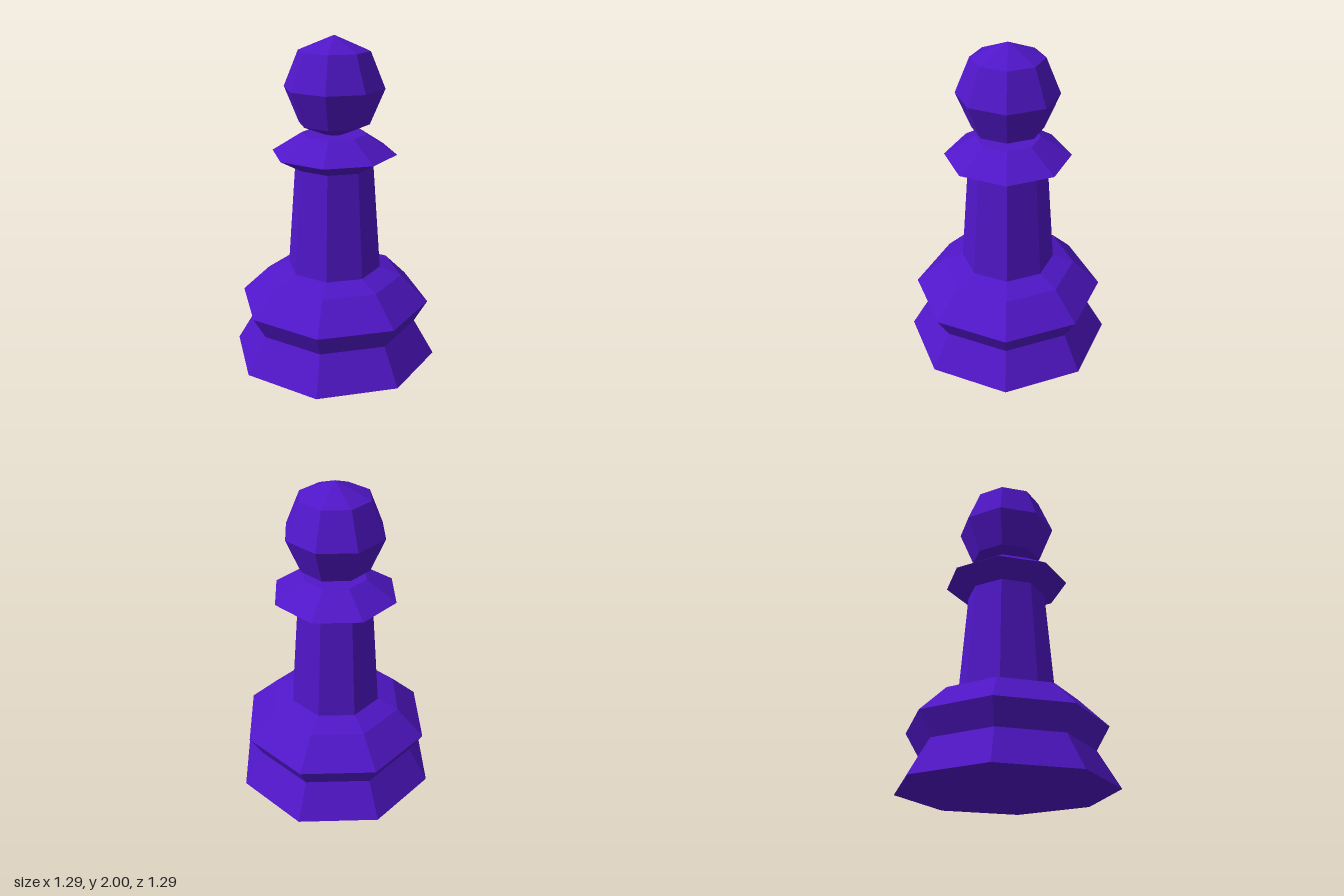
import * as THREE from 'three';

const SIDES = 8;

export function createModel() {
  const group = new THREE.Group();
  group.name = 'pawn';
  const material = new THREE.MeshStandardMaterial({ color: 0x5016c8, flatShading: true });

  const add = (name, geometry, y = 0) => {
    const mesh = new THREE.Mesh(geometry, material);
    mesh.name = name;
    mesh.position.y = y;
    group.add(mesh);
  };
  // Faceted turning from [radius, height] pairs, bottom to top
  const turned = (name, profile) =>
    add(name, new THREE.LatheGeometry(profile.map(([r, y]) => new THREE.Vector2(r, y)), SIDES));

  // Flared foot with a waist and a sloping shoulder
  turned('base', [[0, 0], [0.643, 0], [0.515, 0.22], [0.595, 0.36], [0.423, 0.527], [0.29, 0.577]]);
  // Tapered column
  turned('shaft', [[0.29, 0.577], [0.24, 1.227]]);
  // Sharp-edged ring with a flat top
  turned('collar', [[0.24, 1.227], [0.38, 1.305], [0.195, 1.423], [0, 1.423]]);
  // Low-poly ball, four bands tall
  add('head', new THREE.SphereGeometry(0.302, SIDES, 4), 1.698);

  return group;
}
